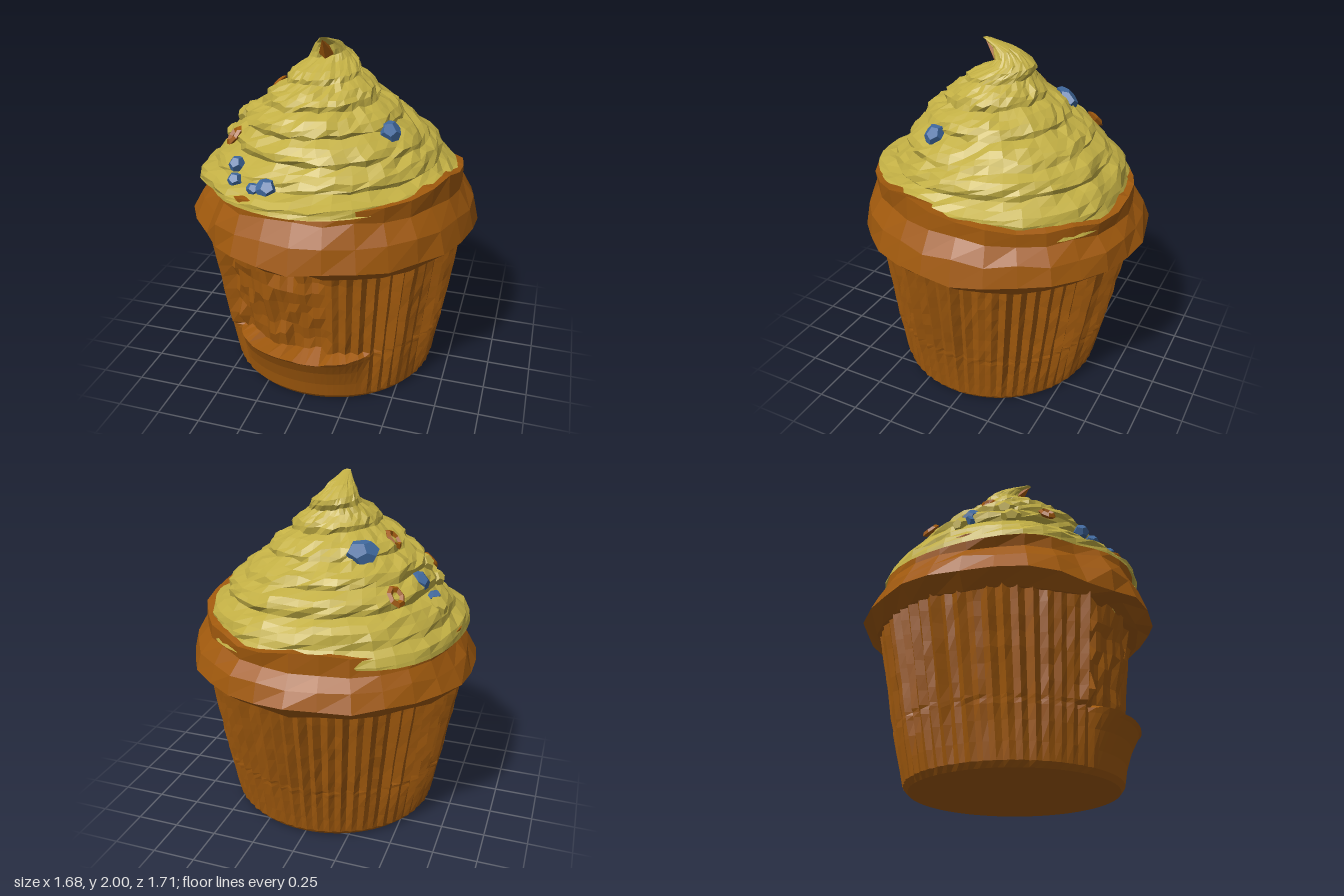
import * as THREE from 'three';

const TAU = Math.PI * 2;
const mat = (name, color) => {
  const m = new THREE.MeshStandardMaterial({ color, flatShading: true, side: THREE.DoubleSide });
  m.name = name;
  return m;
};

// repeatable jitter in -1..1
const jitter = (i, j, k = 0) => {
  const s = Math.sin(i * 127.1 + j * 311.7 + k * 74.7) * 43758.5453;
  return (s - Math.floor(s)) * 2 - 1;
};
// smooth bump around an angle
const bump = (a, centre, width) => {
  const d = Math.atan2(Math.sin(a - centre), Math.cos(a - centre)) / width;
  return Math.exp(-d * d);
};
// linear lookup in rows of [key, values...]
const lookup = (table, key) => {
  let i = 0;
  while (i < table.length - 2 && key > table[i + 1][0]) i++;
  const a = table[i], b = table[i + 1];
  const t = THREE.MathUtils.clamp((key - a[0]) / (b[0] - a[0]), 0, 1);
  return a.map((v, k) => v + (b[k] - v) * t);
};

// closed skin of rings; point(row, angle, column) gives [x, y, z]; angle 0 is the front
function skin(name, material, rows, cols, point) {
  const pos = [], index = [];
  for (let i = 0; i < rows; i++)
    for (let j = 0; j <= cols; j++) pos.push(...point(i, (j / cols) * TAU, j % cols));
  for (let i = 0; i < rows - 1; i++)
    for (let j = 0; j < cols; j++) {
      const a = i * (cols + 1) + j, d = a + cols + 1;
      index.push(a, a + 1, d + 1, a, d + 1, d);
    }
  const g = new THREE.BufferGeometry();
  g.setAttribute('position', new THREE.Float32BufferAttribute(pos, 3));
  g.setIndex(index);
  g.computeVertexNormals();
  const mesh = new THREE.Mesh(g, material);
  mesh.name = name;
  return mesh;
}

// pleated paper cup with a torn patch at the front
function wrapper(material) {
  const ys = [0, 0, 0.03, 0.12, 0.22, 0.3, 0.325, 0.345, 0.42, 0.5, 0.58, 0.66, 0.74, 0.82, 0.91];
  return skin('wrapper', material, ys.length, 120, (i, a, j) => {
    const y = ys[i];
    const s = a > Math.PI ? a - TAU : a;
    let r = i === 0 ? 0 : i === 1 ? 0.595 : 0.615 + 0.14 * (y / 0.9);
    let h = y;
    const pleat = (j % 2 ? 1 : -1) * 0.013 + jitter(j, 1) * 0.009 + jitter(j, i, 9) * 0.004;
    const ledge = s > -0.68 && s < 0.56;
    const torn = s > -0.72 + 0.07 * jitter(i, 5) && s < 0.2 + 0.04 * jitter(i, 6);
    if (i > 1) {
      if (ledge && y < 0.33) {
        // smooth flap bulging out into a ledge
        r += 0.075 * Math.pow(y / 0.325, 2.5) * Math.max(0, 1 - Math.pow((s + 0.06) / 0.64, 4));
        if (y > 0.31) h += 0.012 * jitter(j >> 2, 2);
      } else if (torn && y > 0.33) {
        // crumbly cake in upright folds showing through the tear
        r += -0.042 + 0.016 * jitter(j >> 1, 3) + 0.018 * jitter(j >> 1, i, 3);
        h += 0.02 * jitter(j >> 1, i, 4);
      } else {
        r += pleat * Math.min(1, 0.25 + y * 2);
        // pressed in beside the tear, curled edge on its left side
        if (y > 0.33) {
          r += 0.025 * bump(s, -0.8, 0.05);
          if (y < 0.85) r -= 0.03 * bump(s, 0.1, 0.35);
        }
      }
    }
    const k = i === 0 ? 1 : 1 - y / 0.91;
    return [r * Math.sin(a) + 0.015 * k, h, 0.975 * r * Math.cos(a) + 0.033 * k];
  });
}

// the cake and icing both sit higher at the front and on the left
const tilt = (a) => 0.04 * Math.cos(a) + 0.025 * Math.sin(a);

// rounded cake rim bulging over the cup, pinched below the icing
function cake(material) {
  const profile = [[0.68, 0.9], [0.765, 0.875], [0.845, 0.95], [0.815, 1.07],
    [0.755, 1.155], [0.753, 1.23], [0.66, 1.25], [0, 1.27]];
  return skin('cakeTop', material, profile.length, 30, (i, a, j) => {
    let [r, y] = profile[i];
    const s = a > Math.PI ? a - TAU : a;
    if (i < 7) {
      r += 0.012 * jitter(j, i, 1);
      y += 0.012 * jitter(j, i, 2) + (i > 3 ? tilt(a) : i > 2 ? tilt(a) / 2 : 0);
    }
    // bitten hollow at the front right
    if (i > 1 && i < 7) r -= 0.055 * bump(s, -0.87, 0.2);
    if (i > 2 && i < 5) r -= 0.035 * bump(s, -1.35, 0.35);
    // raised crust beside the icing, on the left and at the back
    if (i === 5) y += 0.055 * bump(s, 1.2, 0.38) + 0.04 * bump(s, 3.25, 0.4);
    // ragged lower edge over the tear
    if (i < 2 && s > -0.85 && s < 0.2) y += 0.05 + 0.035 * jitter(j, i, 3);
    return [r * Math.sin(a), y, r * Math.cos(a)];
  });
}

// height, radius, centre x, centre z of the swirl
const SWIRL = [[1.19, 0.765, -0.015, 0.01], [1.25, 0.735, -0.015, 0.01], [1.32, 0.645, -0.005, 0],
  [1.4, 0.585, 0.01, 0], [1.45, 0.56, 0.01, 0], [1.5, 0.505, -0.02, 0.01], [1.6, 0.415, -0.03, 0.04],
  [1.7, 0.29, -0.02, 0.05], [1.8, 0.195, -0.015, 0.04], [1.88, 0.115, -0.02, -0.035],
  [1.95, 0.068, -0.03, 0.01], [2.0, 0.02, -0.02, 0.135]];

// piped icing: rows follow a helix so the ridges wind upward
function icing(material) {
  const P = 4, N = 28;
  const ridge = [-0.018, 0.013, 0.022, 0.01];
  return skin('icing', material, N + P + 1, 44, (row, angle, j) => {
    const i = row - P;
    const f = i + (P * angle) / TAU;
    const u = THREE.MathUtils.clamp(f / N, 0, 1);
    let [y, r, cx, cz] = lookup(SWIRL, 1.19 + 0.81 * u);
    const low = Math.max(0, 1 - u * 6);
    if (u > 0 && u < 0.95) {
      const w = Math.min(1, r / 0.3) * Math.min(1, u * 12);
      // same jitter where the helix meets itself
      const turnRow = angle >= TAU - 1e-6 ? i + P : i;
      r += (ridge[((i % P) + P) % P] + 0.013 * jitter(j, turnRow, 7)) * w;
      y += 0.011 * jitter(j, turnRow, 8) * w;
    }
    r += low * (0.012 * Math.sin(5 * angle + 1) - 0.045 * bump(angle, -0.87, 0.2)
      - 0.03 * bump(angle, 1.2, 0.38) - 0.03 * bump(angle, 3.25, 0.4));
    // droops between the raised crusts
    y += low * (tilt(angle) - 0.03 * bump(angle, 2.2, 0.4) + 0.03 * bump(angle, 1.2, 0.38));
    return [cx + r * Math.sin(angle), y, cz + r * Math.cos(angle)];
  });
}

export function createModel() {
  const group = new THREE.Group();
  const brown = mat('cake brown', 0xa0590d);
  const yellow = mat('icing yellow', 0xc2af44);
  const blue = mat('candy blue', 0x40699f);
  group.add(wrapper(brown), cake(brown), icing(yellow));

  // pieces lying on the icing, facing outward
  const place = (mesh, name, x, y, z) => {
    mesh.name = name;
    mesh.position.set(x, y, z);
    mesh.lookAt(x * 2, y + Math.hypot(x, z) * 0.9, z * 2);
    group.add(mesh);
  };
  const nugget = (material, name, [x, y, z, w, h]) => {
    const piece = new THREE.Mesh(new THREE.DodecahedronGeometry(1), material);
    piece.scale.set(w, h, 0.042);
    place(piece, name, x, y, z);
  };
  // x, y, z, half width, half height
  const chips = [[0.385, 1.555, 0.25, 0.065, 0.065], [-0.4, 1.375, 0.5, 0.045, 0.048],
    [-0.39, 1.305, 0.555, 0.045, 0.042], [-0.18, 1.32, 0.645, 0.06, 0.055], [-0.25, 1.3, 0.635, 0.045, 0.035],
    [-0.24, 1.645, -0.265, 0.1, 0.075], [-0.525, 1.47, -0.11, 0.055, 0.06], [-0.6, 1.385, -0.1, 0.035, 0.034]];
  for (const chip of chips) nugget(blue, 'blueCandy', chip);
  // loose dabs of icing on the right side
  const dabs = [[-0.51, 1.52, 0.08, 0.06, 0.06], [-0.57, 1.42, 0.13, 0.06, 0.05], [-0.64, 1.35, -0.14, 0.045, 0.06]];
  for (const dab of dabs) nugget(yellow, 'icingDab', dab);

  const rings = [[-0.455, 1.455, -0.37], [-0.35, 1.67, -0.05], [-0.485, 1.465, 0.32]];
  for (const [x, y, z] of rings) {
    const ring = new THREE.Mesh(new THREE.TorusGeometry(0.036, 0.016, 4, 7), brown);
    ring.scale.y = 1.3;
    place(ring, 'ringCandy', x, y, z);
  }

  // browned underside of the curled tip
  const tip = new THREE.Mesh(new THREE.ConeGeometry(0.045, 0.12, 5), brown);
  tip.name = 'icingTip';
  tip.position.set(-0.025, 1.95, 0.105);
  tip.rotation.x = 0.8;
  group.add(tip);
  return group;
}
